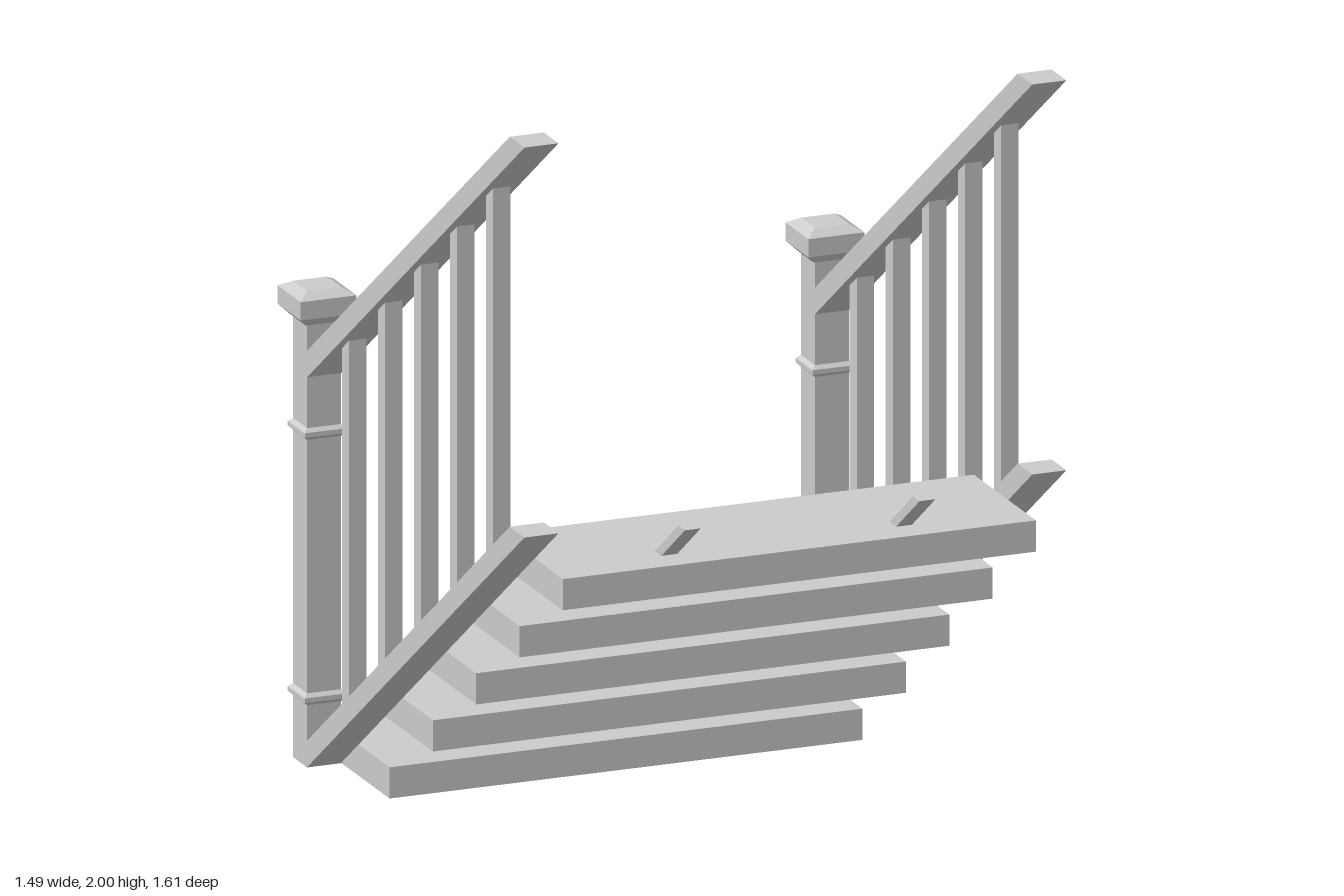
import * as THREE from 'three';

const material = new THREE.MeshStandardMaterial({ color: 0xcccccc, flatShading: true });

const SLOPE = 1 / 1.4;      // rise per unit of z along the railings
const POST_FRONT = -0.69;   // z where the rails meet the posts
const RAIL_X = 0.671;

function add(parent, name, geometry, x = 0, y = 0, z = 0) {
  const mesh = new THREE.Mesh(geometry, material);
  mesh.name = name;
  mesh.position.set(x, y, z);
  parent.add(mesh);
  return mesh;
}

// Side outline given as [z, y] points, extruded along x and centred on x = 0
function sideProfile(points, width) {
  const shape = new THREE.Shape(points.map(([z, y]) => new THREE.Vector2(z, y)));
  const geometry = new THREE.ExtrudeGeometry(shape, { depth: width, bevelEnabled: false });
  geometry.translate(0, 0, -width / 2);
  geometry.rotateY(-Math.PI / 2);
  return geometry;
}

// Square turned shape from [half width, y] points, listed bottom to top
function squareLathe(points) {
  const profile = points.map(([h, y]) => new THREE.Vector2(h * Math.SQRT2, y));
  const geometry = new THREE.LatheGeometry(profile, 4);
  geometry.rotateY(Math.PI / 4);
  return geometry;
}

// Sloped rail with a plumb lower end and a level upper end
function railGeometry(base) {
  return sideProfile([
    [POST_FRONT, base],
    [0.71, base + 1],
    [0.615, base + 1],
    [POST_FRONT, base + 0.068],
  ], 0.09);
}

function createRailing(side) {
  const railing = new THREE.Group();
  railing.name = side > 0 ? 'leftRailing' : 'rightRailing';
  railing.position.x = side * RAIL_X;

  add(railing, 'bottomRail', railGeometry(0));
  add(railing, 'handrail', railGeometry(1));

  // Balusters, cut to the slope at both ends
  for (let i = 0; i < 5; i++) {
    const z0 = 0.409 - i * 0.232;
    const z1 = z0 + 0.046;
    const railY = (z) => (z - POST_FRONT) * SLOPE;
    add(railing, 'baluster', sideProfile([
      [z0, railY(z0) + 0.066],
      [z1, railY(z1) + 0.066],
      [z1, railY(z1) + 1.002],
      [z0, railY(z0) + 1.002],
    ], 0.046));
  }

  // Newel post with two collars and a bevelled cap
  const post = new THREE.Group();
  post.name = 'newelPost';
  post.position.z = -0.734;
  railing.add(post);
  add(post, 'postShaft', new THREE.BoxGeometry(0.09, 1.15, 0.09), 0, 0.575, 0);
  for (const y of [0.175, 0.855]) {
    add(post, 'postCollar', squareLathe([
      [0.044, -0.016], [0.055, -0.006], [0.055, 0.006], [0.044, 0.016],
    ]), 0, y, 0);
  }
  add(post, 'postCap', squareLathe([
    [0, 1.135], [0.05, 1.135], [0.074, 1.158], [0.074, 1.205], [0.045, 1.222], [0, 1.222],
  ]));
  return railing;
}

export function createModel() {
  const model = new THREE.Group();
  model.name = 'staircase';

  // Treads
  for (let i = 0; i < 5; i++) {
    add(model, 'tread', new THREE.BoxGeometry(1.25, 0.08, 0.4),
      0, 0.04 + i * 0.2025, -0.58 + i * 0.279);
  }

  // Thin sloped stringers running through the treads
  for (const side of [-1, 1]) {
    add(model, 'stringer', sideProfile([
      [-0.56, 0.01], [0.805, 1], [0.763, 1], [-0.602, 0.01],
    ], 0.042), side * 0.31);
    model.add(createRailing(side));
  }
  return model;
}
